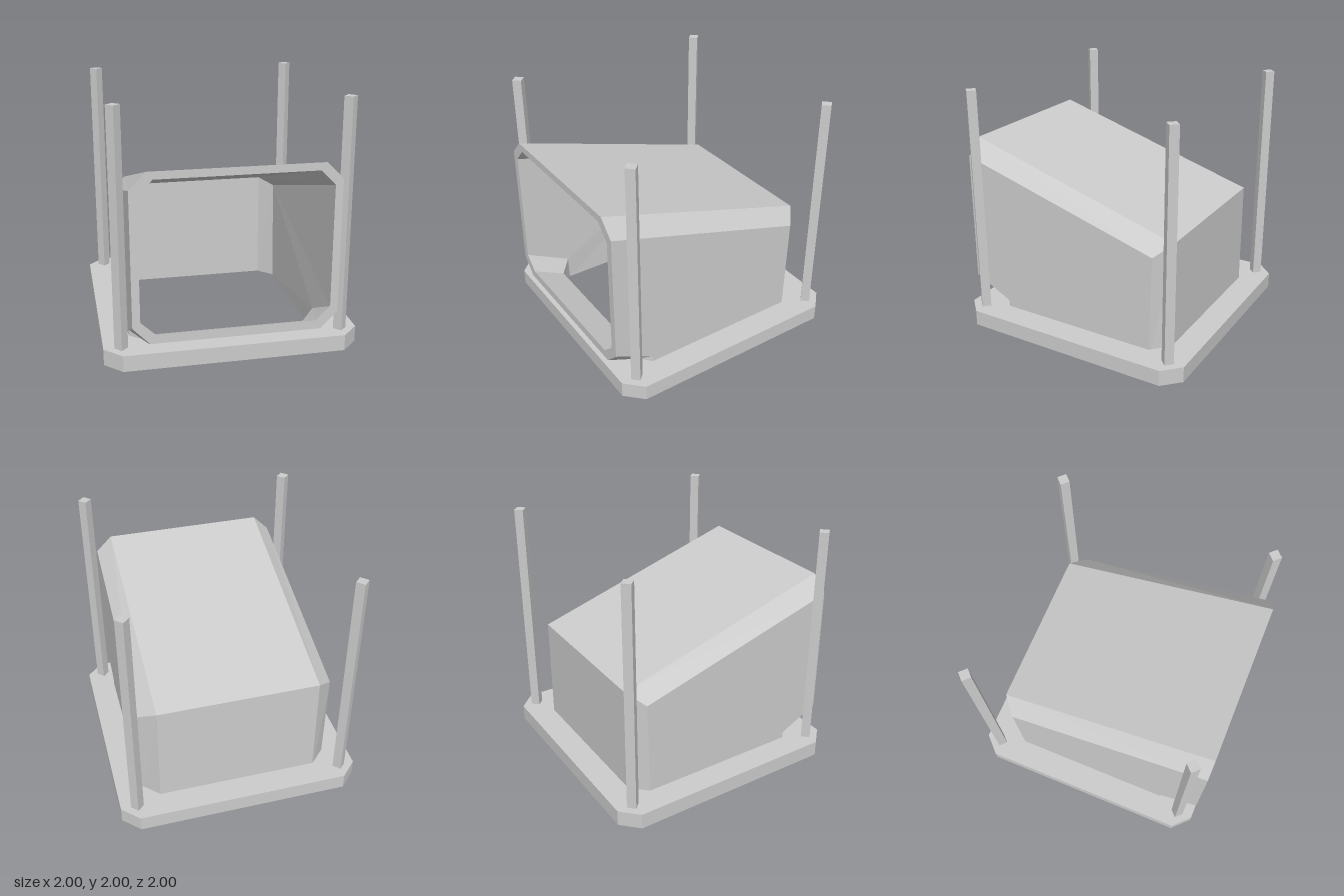
import * as THREE from 'three';

const material = new THREE.MeshStandardMaterial({ color: 0xcccccc, flatShading: true });

function part(name, geometry) {
  const mesh = new THREE.Mesh(geometry, material);
  mesh.name = name;
  return mesh;
}

// Square outline with cut corners: w is the half width, c the half length of the straight edges
function octagon(PathType, w, c) {
  const points = [[c, -w], [w, -c], [w, c], [c, w], [-c, w], [-w, c], [-w, -c], [-c, -w]];
  return new PathType(points.map(([x, y]) => new THREE.Vector2(x, y)));
}

// Eight-cornered duct section; levels are [y, z] from the back/top edge to the front/bottom edge
function section(w, c, levels) {
  const widths = [c, w, w, c];
  const half = levels.map(([y, z], i) => [widths[i], y, z]);
  const mirrored = half.map(([x, y, z]) => [-x, y, z]).reverse();
  return [...half, ...mirrored];
}

// Joins the sections in a closed cycle: up the outside, over the rim and back down the inside
function skin(loops) {
  const positions = [];
  loops.forEach((lower, k) => {
    const upper = loops[(k + 1) % loops.length];
    lower.forEach((a, i) => {
      const j = (i + 1) % lower.length;
      positions.push(...a, ...upper[i], ...lower[j], ...lower[j], ...upper[i], ...upper[j]);
    });
  });
  const geometry = new THREE.BufferGeometry();
  geometry.setAttribute('position', new THREE.Float32BufferAttribute(positions, 3));
  geometry.computeVertexNormals();
  return geometry;
}

export function createModel() {
  const model = new THREE.Group();

  // Flat base frame with an opening under the hood
  const frame = octagon(THREE.Shape, 1, 0.865);
  frame.holes.push(octagon(THREE.Path, 0.76, 0.635));
  const baseGeometry = new THREE.ExtrudeGeometry(frame, { depth: 0.13, bevelEnabled: false });
  baseGeometry.rotateX(-Math.PI / 2).translate(0, 0.01, 0);
  model.add(part('baseFrame', baseGeometry));

  // Hollow hood bending from the floor opening to the front opening
  const hood = skin([
    section(0.79, 0.66, [[0, -0.79], [0, -0.66], [0, 0.67], [0, 0.79]]),
    section(0.79, 0.655, [[1.01, -0.79], [0.925, -0.68], [0.19, 0.67], [0.12, 0.79]]),
    section(0.79, 0.66, [[1.545, 1], [1.415, 1], [0.355, 1], [0.22, 1]]),
    section(0.73, 0.615, [[1.485, 1], [1.37, 1], [0.40, 1], [0.29, 1]]),
    section(0.72, 0.605, [[0.95, -0.73], [0.895, -0.63], [0.21, 0.62], [0.16, 0.73]]),
    section(0.73, 0.61, [[0, -0.73], [0, -0.61], [0, 0.61], [0, 0.73]]),
  ]);
  model.add(part('hood', hood));

  // Four corner posts, set diagonally
  const postGeometry = new THREE.CylinderGeometry(0.052, 0.052, 2, 4);
  for (const x of [-1, 1]) {
    for (const z of [-1, 1]) {
      const post = part(`${z > 0 ? 'front' : 'back'}${x > 0 ? 'Left' : 'Right'}Post`, postGeometry);
      post.position.set(x * 0.865, 1, z * 0.865);
      model.add(post);
    }
  }

  return model;
}
